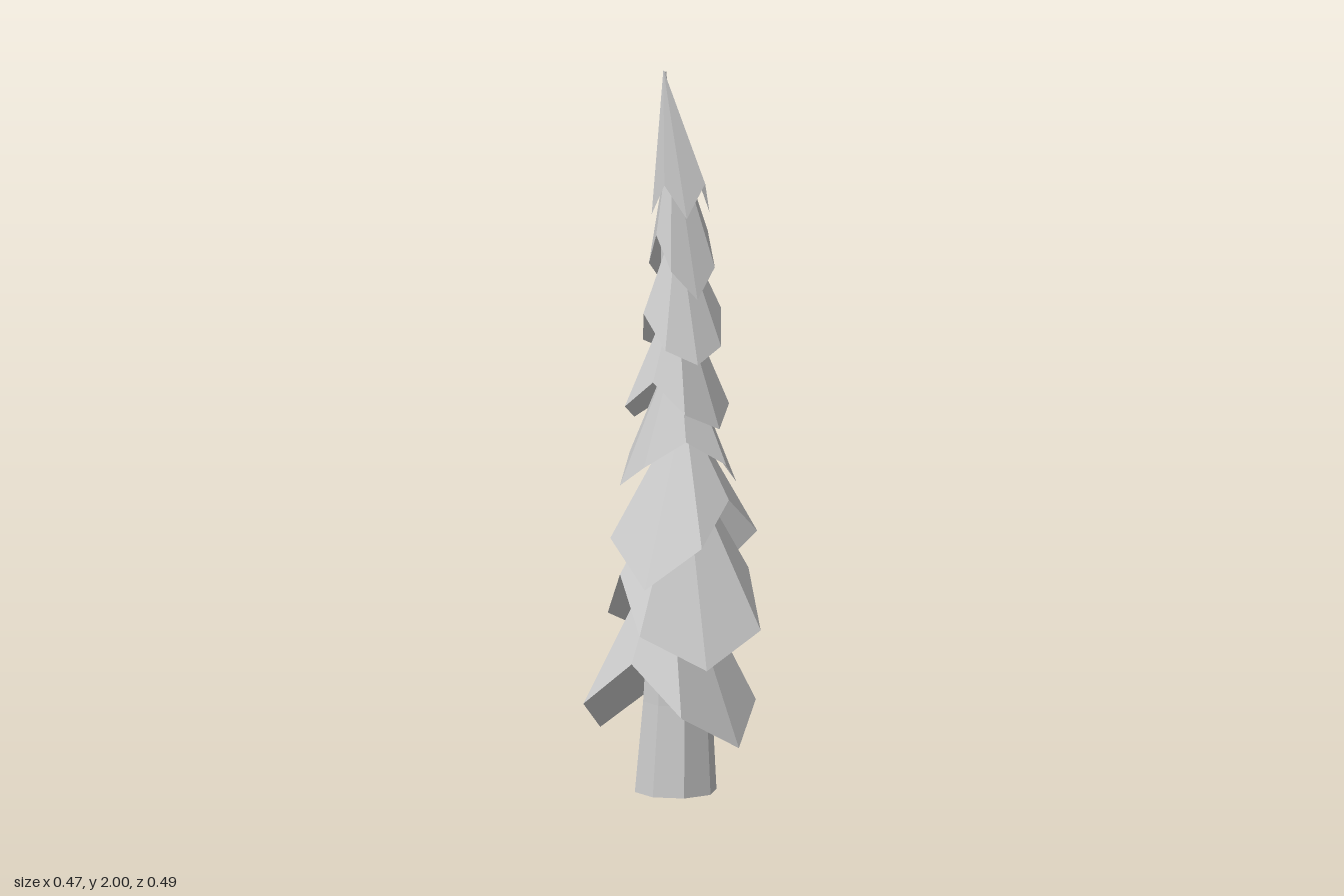
import * as THREE from 'three';

const material = new THREE.MeshStandardMaterial({
  color: 0xcccccc, flatShading: true, side: THREE.DoubleSide,
});

// One tier of foliage: a cone whose rim dips to two opposite leaf tips,
// with another pair of rim points (usually high notches) halfway between them.
function tierGeometry({ x, z, angle, radius, notchRadius, tip, side, notch, apex, apexX = x, apexZ = z }) {
  const rim = [];
  for (let i = 0; i < 8; i++) {
    const a = THREE.MathUtils.degToRad(angle + i * 45);
    const y = [tip, side, notch, side][i % 4];
    const r = i % 4 === 2 ? notchRadius : radius;
    rim.push([x + r * Math.cos(a), y, z + r * Math.sin(a)]);
  }
  const top = [apexX, apex, apexZ];
  const corners = rim.flatMap((p, i) => [...top, ...rim[(i + 1) % 8], ...p]);
  const geometry = new THREE.BufferGeometry();
  geometry.setAttribute('position', new THREE.Float32BufferAttribute(corners, 3));
  geometry.computeVertexNormals();
  return geometry;
}

// Tall octagonal trunk, open below, tapering and leaning slightly to its tip
function trunkGeometry() {
  const rings = [
    { y: 0, r: 0.113, x: 0.02, z: -0.015 },
    { y: 0.25, r: 0.095, x: 0.025, z: -0.015 },
    { y: 1.0, r: 0.05, x: 0.02, z: 0 },
    { y: 1.99, r: 0.004, x: -0.01, z: -0.014 },
  ];
  const geometry = new THREE.CylinderGeometry(1, 1, 1, 8, rings.length - 1, true);
  const pos = geometry.attributes.position;
  for (let i = 0; i < pos.count; i++) {
    const ring = rings[Math.round((pos.getY(i) + 0.5) * (rings.length - 1))];
    pos.setXYZ(i, ring.x + pos.getX(i) * ring.r, ring.y, ring.z + pos.getZ(i) * ring.r);
  }
  geometry.computeVertexNormals();
  return geometry;
}

export function createModel() {
  const tree = new THREE.Group();
  tree.name = 'coniferTree';

  const trunk = new THREE.Mesh(trunkGeometry(), material);
  trunk.name = 'trunk';
  tree.add(trunk);

  // Foliage tiers from the ground up, each turned against the one below
  const tiers = [
    { x: 0, z: 0, angle: 49, radius: 0.236, notchRadius: 0.17, tip: 0.15, side: 0.25, notch: 0.38, apex: 0.72 },
    { x: 0.04, z: 0.003, angle: 87, radius: 0.24, notchRadius: 0.18, tip: 0.38, side: 0.47, notch: 0.61, apex: 0.93 },
    { x: 0.03, z: 0.045, angle: 133, radius: 0.205, notchRadius: 0.143, tip: 0.6, side: 0.72, notch: 0.83, apex: 1.08 },
    { x: 0.015, z: 0.04, angle: 2, radius: 0.16, notchRadius: 0.13, tip: 0.86, side: 0.93, notch: 1.0, apex: 1.27 },
    { x: 0.01, z: 0.05, angle: 48, radius: 0.143, notchRadius: 0.11, tip: 1.03, side: 1.08, notch: 1.16, apex: 1.42 },
    { x: 0.025, z: 0.047, angle: 80, radius: 0.115, notchRadius: 0.113, tip: 1.21, side: 1.25, notch: 1.34, apex: 1.6, apexX: 0.015, apexZ: 0.03 },
    { x: 0.03, z: 0.02, angle: 75, radius: 0.094, notchRadius: 0.078, tip: 1.38, side: 1.46, notch: 1.55, apex: 1.85, apexX: 0.005, apexZ: 0.003 },
    { x: 0.03, z: 0.002, angle: 0, radius: 0.08, notchRadius: 0.083, tip: 1.6, side: 1.69, notch: 1.6, apex: 2.0, apexX: -0.018, apexZ: 0.004 },
  ];
  tiers.forEach((tier, i) => {
    const mesh = new THREE.Mesh(tierGeometry(tier), material);
    mesh.name = `foliageTier${i + 1}`;
    tree.add(mesh);
  });
  return tree;
}
